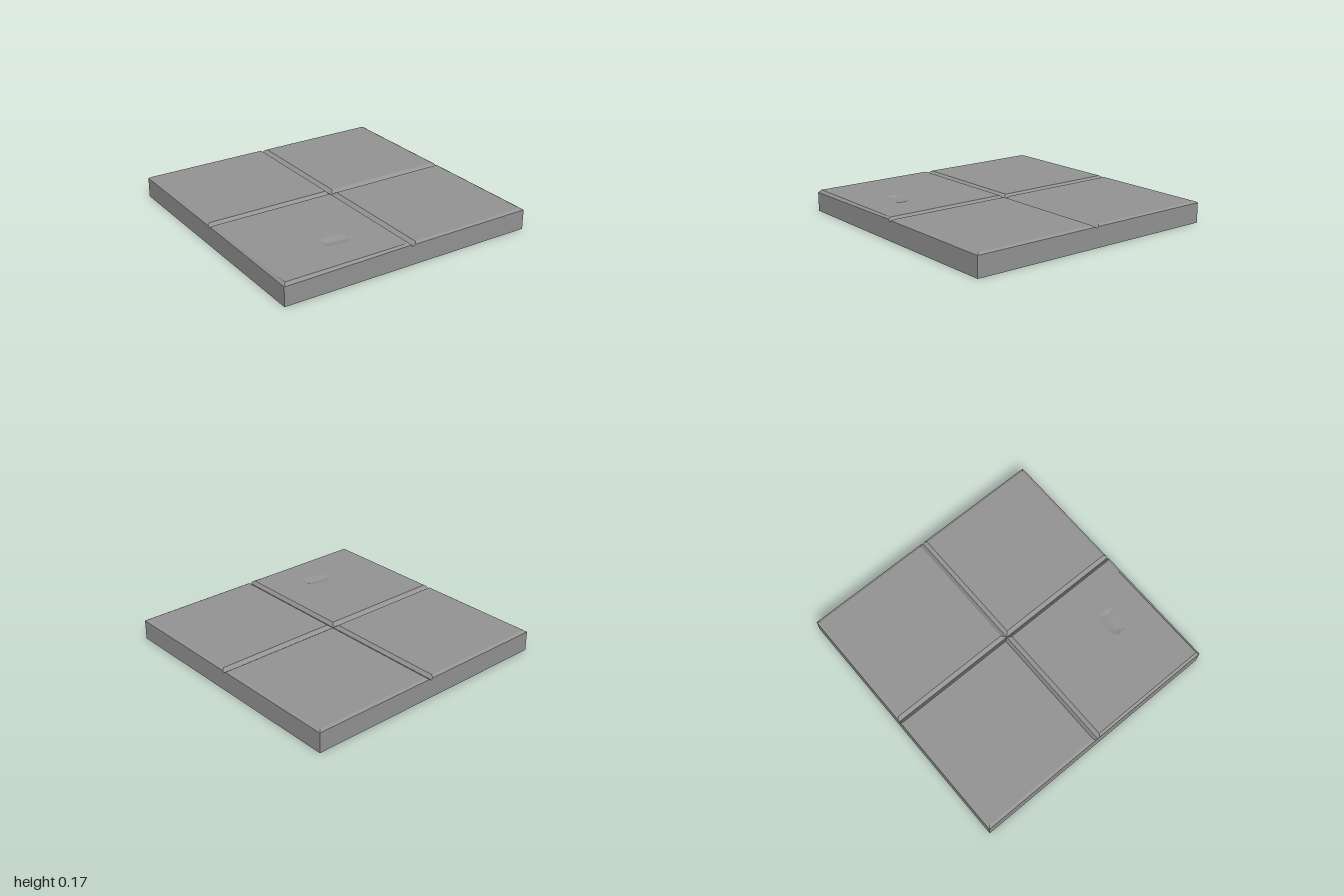
import * as THREE from 'three';

const material = new THREE.MeshStandardMaterial({ color: 0x949494, flatShading: true });
const BASE = 0.14; // height of the groove floor
const BEVEL = 0.02;

function meshFrom(name, positions) {
  const geometry = new THREE.BufferGeometry();
  geometry.setAttribute('position', new THREE.Float32BufferAttribute(positions, 3));
  geometry.computeVertexNormals();
  const mesh = new THREE.Mesh(geometry, material);
  mesh.name = name;
  return mesh;
}

// Rectangle of corners, anticlockwise seen from above
function ring(x0, x1, z0, z1, y) {
  return [[x0, y, z1], [x1, y, z1], [x1, y, z0], [x0, y, z0]];
}

// Walls and bevels joining successive rings
function skirt(rings) {
  const out = [];
  for (let k = 0; k < rings.length - 1; k++) {
    const a = rings[k], b = rings[k + 1];
    for (let i = 0; i < 4; i++) {
      const j = (i + 1) % 4;
      out.push(...a[i], ...a[j], ...b[j], ...a[i], ...b[j], ...b[i]);
    }
  }
  return out;
}

// Shallow pit: facets from the rim down to a crease running across it
function pit(rim, y) {
  const floors = [[-0.475, y - 0.012, 0.663], [-0.335, y - 0.012, 0.686]];
  const floorOf = (p) => floors[p[0] < -0.4 ? 0 : 1];
  const out = [];
  rim.forEach((p, i) => {
    const q = rim[(i + 1) % rim.length];
    const f = floorOf(p), g = floorOf(q);
    out.push(p[0], y, p[1], q[0], y, q[1], ...f);
    if (f !== g) out.push(...f, q[0], y, q[1], ...g);
  });
  return out;
}

function tile(name, sx, sz, top, rim) {
  // Foot meets the groove floor; the top edge is set back from it
  const foot = { x: sx < 0 ? 0.004 : 0.009, z: 0.004 };
  const edge = { x: sx < 0 ? -0.018 : 0.038, z: sz < 0 ? -0.028 : 0.032 };
  const mid = { x: (foot.x + edge.x) / 2, z: (foot.z + edge.z) / 2 };
  const level = (inner, outer, y) => ring(
    sx < 0 ? -outer : inner.x, sx < 0 ? inner.x : outer,
    sz < 0 ? -outer : inner.z, sz < 0 ? inner.z : outer, y);
  const shoulder = level(mid, 1, 0.151);
  if (rim) {
    // Worn front edge, sloping down to the outer corner
    shoulder[0][1] = 0.144;
    shoulder[1][1] = 0.155;
  }
  const upper = level(edge, 1 - BEVEL, top);

  const group = new THREE.Group();
  group.name = name;
  group.add(meshFrom('tileSides', skirt([level(foot, 1, BASE), shoulder, upper])));

  // Flat top face, cut open where it is chipped
  const shape = new THREE.Shape(upper.map((p) => new THREE.Vector2(p[0], -p[2])));
  if (rim) shape.holes.push(new THREE.Path(rim.map(([x, z]) => new THREE.Vector2(x, -z))));
  const face = new THREE.Mesh(new THREE.ShapeGeometry(shape), material);
  face.geometry.rotateX(-Math.PI / 2).translate(0, top, 0);
  face.name = 'tileTop';
  group.add(face);
  if (rim) group.add(meshFrom('chip', pit(rim, top)));
  return group;
}

export function createModel() {
  const model = new THREE.Group();
  model.name = 'floorSlab';

  // Solid slab under the tiles
  const base = new THREE.Mesh(new THREE.BoxGeometry(2, BASE, 2), material);
  base.position.y = BASE / 2;
  base.name = 'base';
  model.add(base);

  // Four tiles separated by V grooves, the front one on the right side chipped
  const chipRim = [
    [-0.515, 0.655], [-0.505, 0.715], [-0.42, 0.742], [-0.325, 0.745],
    [-0.305, 0.69], [-0.32, 0.625], [-0.42, 0.597], [-0.49, 0.612],
  ];
  model.add(tile('backLeftTile', 1, -1, 0.162, null));
  model.add(tile('frontLeftTile', 1, 1, 0.162, null));
  model.add(tile('backRightTile', -1, -1, 0.164, null));
  model.add(tile('frontRightTile', -1, 1, 0.165, chipRim));
  return model;
}
